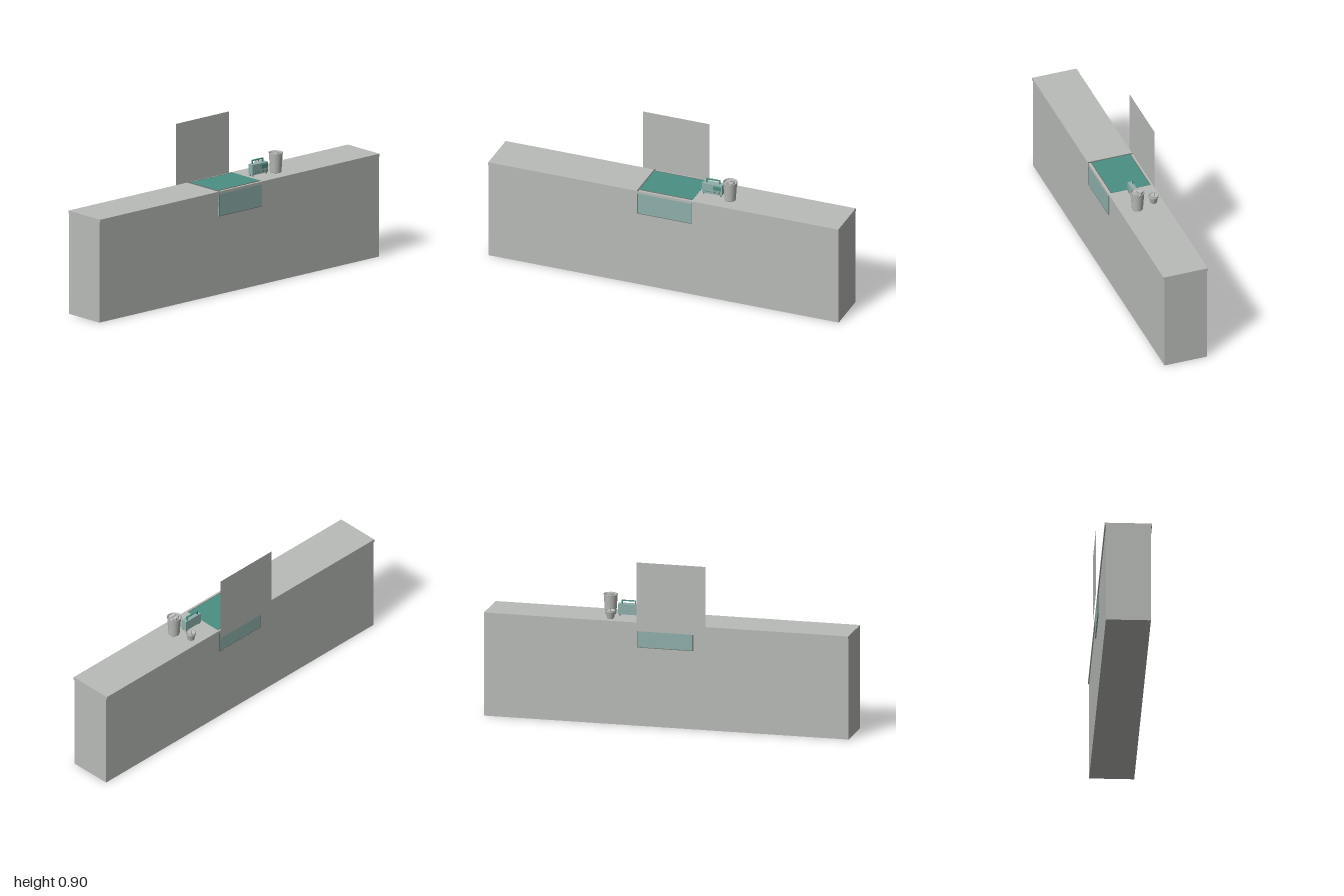
import * as THREE from 'three';

const mat = (name, color, side = THREE.FrontSide) => {
  const m = new THREE.MeshStandardMaterial({ color, side });
  m.name = name;
  return m;
};

export function createModel() {
  const model = new THREE.Group();
  model.name = 'counter';
  const grey = mat('stone grey', 0xb8bbb7, THREE.DoubleSide);
  const dark = mat('trim grey', 0x6f7471);
  const teal = mat('deep teal', 0x4b8f83);
  const pale = mat('pale teal', 0x8fb0ab);

  const add = (parent, name, geo, material, x = 0, y = 0, z = 0) => {
    const mesh = new THREE.Mesh(geo, material);
    mesh.name = name;
    mesh.position.set(x, y, z);
    parent.add(mesh);
    return mesh;
  };
  // Box given by its limits on each axis
  const box = (parent, name, material, [x0, x1], [y0, y1], [z0, z1]) =>
    add(parent, name, new THREE.BoxGeometry(x1 - x0, y1 - y0, z1 - z0), material,
      (x0 + x1) / 2, (y0 + y1) / 2, (z0 + z1) / 2);

  // Counter body and worktop
  const TOP = 0.567;
  box(model, 'counterBody', grey, [-1, 1], [0, 0.552], [-0.114, 0.1256]);
  box(model, 'worktop', grey, [-1, 1], [0.552, TOP], [-0.12, 0.1312]);

  // Sheet standing behind the counter
  add(model, 'backSheet', new THREE.PlaneGeometry(0.38, 0.377), grey, -0.03, 0.7115, -0.1312);

  // Inset on the worktop with its thin edging
  const X0 = -0.15, X1 = 0.16, E = 0.006;
  box(model, 'topInset', teal, [X0 + E, X1], [TOP, TOP + 0.002], [-0.104, 0.113]);
  box(model, 'topEdgeSide', dark, [X0, X0 + E], [TOP, TOP + 0.004], [-0.12, 0.13]);
  for (const z of [-0.108, 0.113])
    box(model, 'topEdgeLong', dark, [X0, X1], [TOP, TOP + 0.003], [z, z + 0.004]);

  // Hanging panels, front and back, each with a trim on three sides
  for (const [name, z0, z1, out] of [['front', 0.1256, 0.1303, 0.0009], ['back', -0.119, -0.114, -0.0009]]) {
    const z = [Math.min(z0, z0 + out), Math.max(z1, z1 + out)];
    box(model, name + 'Panel', pale, [X0, X1], [0.43, 0.556], [z0, z1]);
    box(model, name + 'TrimLeft', dark, [X1 - E / 2, X1], [0.43, 0.556], z);
    box(model, name + 'TrimRight', dark, [X0, X0 + E], [0.43, 0.566], z);
    box(model, name + 'TrimBottom', dark, [X0, X1], [0.43, 0.43 + E / 2], z);
  }

  // Small radio
  const radio = new THREE.Group();
  radio.name = 'radio';
  model.add(radio);
  box(radio, 'radioBody', pale, [0.182, 0.294], [0.575, 0.632], [-0.003, 0.03]);
  box(radio, 'dial', teal, [0.244, 0.29], [0.601, 0.624], [0.03, 0.032]);
  box(radio, 'speaker', teal, [0.19, 0.236], [0.585, 0.588], [0.03, 0.031]);
  box(radio, 'handleBar', teal, [0.198, 0.276], [0.648, 0.653], [0.003, 0.012]);
  for (const x of [0.198, 0.271])
    box(radio, 'handlePost', teal, [x, x + 0.005], [0.632, 0.65], [0.003, 0.012]);
  for (const x of [0.19, 0.286])
    for (const z of [0.003, 0.024])
      add(radio, 'radioFoot', new THREE.CylinderGeometry(0.004, 0.004, 0.008, 10), dark, x, 0.571, z);
  for (const x of [0.254, 0.28]) {
    const knob = add(radio, 'knob', new THREE.CylinderGeometry(0.005, 0.005, 0.006, 12), dark, x, 0.589, 0.033);
    knob.rotation.x = Math.PI / 2;
  }

  // Open cups turned from a profile
  const turned = points => new THREE.LatheGeometry(points.map(p => new THREE.Vector2(...p)), 24);

  const bucket = new THREE.Group();
  bucket.name = 'tallCup';
  bucket.position.set(0.344, TOP, 0.035);
  model.add(bucket);
  add(bucket, 'tallCupWall', turned([[0, 0], [0.029, 0], [0.03, 0.003], [0.037, 0.101], [0.039, 0.103],
    [0.039, 0.108], [0.036, 0.109], [0.034, 0.104], [0.033, 0.09], [0, 0.09]]), grey);
  // Chunks filling the cup
  for (let i = 0; i < 6; i++) {
    const a = i * 1.05, r = i % 2 ? 0.018 : 0.013;
    const chunk = add(bucket, 'chunk', new THREE.BoxGeometry(0.02, 0.014, 0.018), grey,
      Math.cos(a) * r, 0.098 + (i % 3) * 0.004, Math.sin(a) * r);
    chunk.rotation.set(0.4 * Math.sin(i * 2), a, 0.4 * Math.cos(i * 3));
  }

  const bowl = new THREE.Group();
  bowl.name = 'smallCup';
  bowl.position.set(0.318, TOP, -0.066);
  model.add(bowl);
  add(bowl, 'smallCupWall', turned([[0, 0], [0.016, 0], [0.018, 0.002], [0.024, 0.032], [0.027, 0.034],
    [0.027, 0.044], [0.023, 0.045], [0.022, 0.036], [0, 0.036]]), grey);
  const stick = add(bowl, 'stick', new THREE.CylinderGeometry(0.0015, 0.0015, 0.026, 8), dark, 0, 0.045, -0.007);
  stick.rotation.x = 0.08;

  return model;
}
